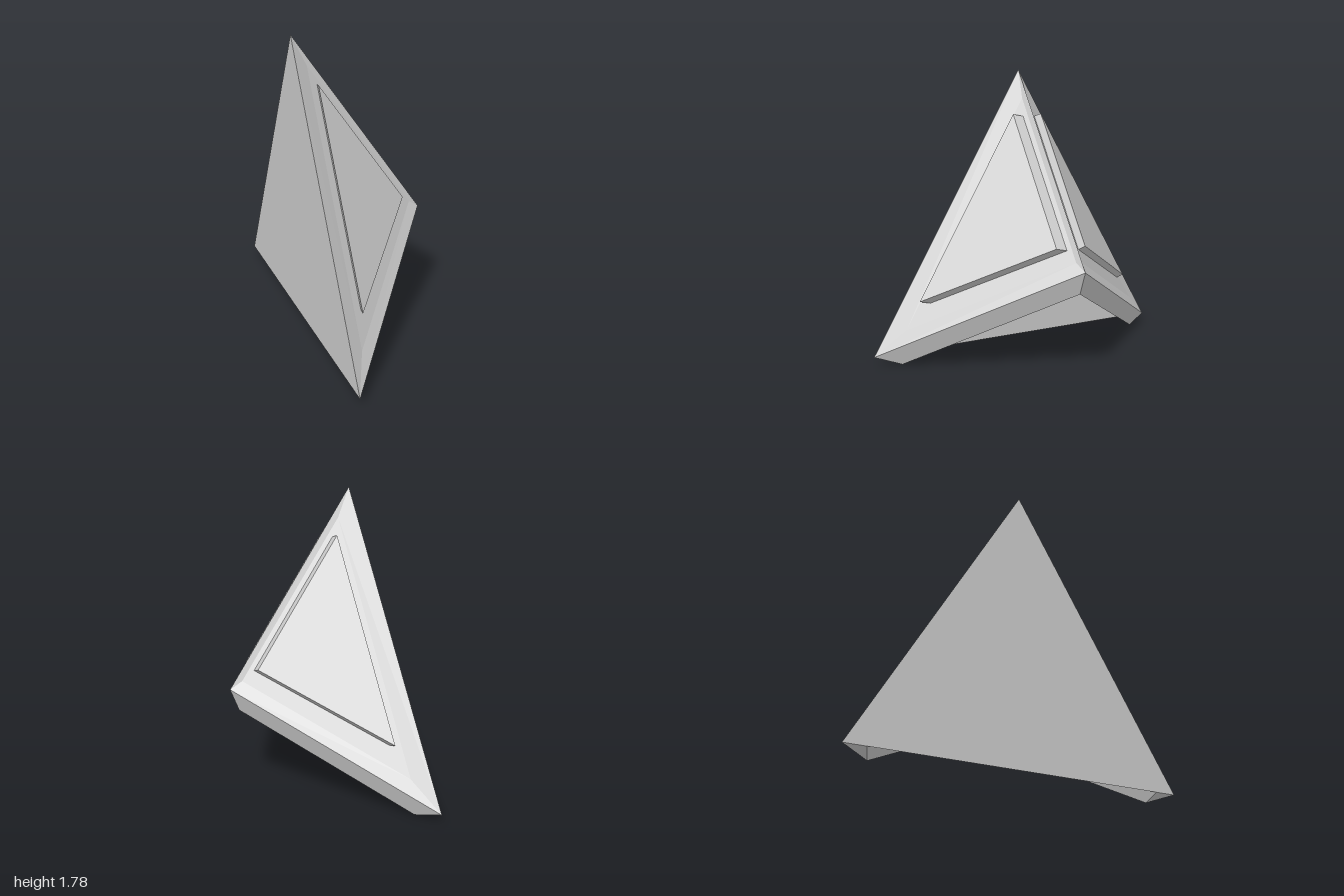
import * as THREE from 'three';

// Cube-corner axes: the three legs meeting at the front corner
const corner = new THREE.Vector3(0.408, 0.628, 0);
const up = new THREE.Vector3(-0.5774, 0.8165, 0);
const legFront = new THREE.Vector3(-0.5774, -0.4082, 0.7071);
const legRear = new THREE.Vector3(-0.5774, -0.4082, -0.7071);
const LEG = 1.4142, WALL = 0.09, LIP = -0.08, CEILING = 0.57, RECESS = 0.01;

const at = (a, b, c) => corner.clone()
  .addScaledVector(up, a).addScaledVector(legFront, b).addScaledVector(legRear, c);

// Flat-sided mesh from convex polygons given as loops of points
function polyMesh(name, polygons) {
  const pos = [];
  for (const p of polygons)
    for (let i = 1; i < p.length - 1; i++)
      for (const v of [p[0], p[i], p[i + 1]]) pos.push(v.x, v.y, v.z);
  const geo = new THREE.BufferGeometry();
  geo.setAttribute('position', new THREE.Float32BufferAttribute(pos, 3));
  geo.computeVertexNormals();
  const mesh = new THREE.Mesh(geo, new THREE.MeshStandardMaterial({
    color: 0xcccccc, flatShading: true, side: THREE.DoubleSide }));
  mesh.name = name;
  return mesh;
}

// Sides joining two loops of equal length
const band = (outer, inner) => outer.map((p, i) => {
  const j = (i + 1) % outer.length;
  return [p, outer[j], inner[j], inner[i]];
});

// One sloping face with its wall, lower rim and raised panel
function makeSide(name, mirrored, lift) {
  const pt = (a, b, c) => mirrored ? at(a, c, b) : at(a, b, c);
  const orient = polys => mirrored ? polys.map(p => [...p].reverse()) : polys;
  const side = new THREE.Group();
  side.name = name;

  // Face with a shallow bevel down to a recessed field
  const outer = [pt(0, 0, 0), pt(LEG, 0, 0), pt(0, LEG, 0)];
  const field = [[0.08, 0.035], [1.22, 0.036], [0.084, 1.17]].map(([a, b]) => pt(a, b, RECESS));
  side.add(polyMesh('recessedFace', orient([...band(outer, field), field])));

  // Chamfered lower rim and its pointed end
  const lipIn = pt(LIP, WALL, WALL), lipOut = pt(LIP, 1.285, WALL);
  const backLow = pt(0, LEG - WALL, WALL);
  side.add(polyMesh('lowerRim', orient([
    [outer[0], outer[2], lipOut, lipIn],
    [outer[2], backLow, lipOut],
  ])));

  // Wall of the hollow underside
  side.add(polyMesh('innerWall', orient([[
    lipIn, lipOut, backLow,
    pt(CEILING, LEG - WALL - CEILING, WALL), pt(CEILING, WALL, WALL),
  ]])));

  // Raised triangular panel
  const base = [[0.17, 0.065], [1.1, 0.066], [0.19, 0.975]].map(([a, b]) => pt(a, b, RECESS));
  const top = base.map(p => pt(0, 0, -RECESS).sub(corner).add(p).add(lift));
  side.add(polyMesh('raisedPanel', orient([...band(base, top), top])));
  return side;
}

export function createModel() {
  const model = new THREE.Group();
  model.name = 'cornerPiece';
  model.add(
    makeSide('frontSide', false, new THREE.Vector3(-0.02, 0.009, 0.055)),
    makeSide('rearSide', true, new THREE.Vector3(-0.008, 0.011, -0.041)),
    polyMesh('backWall', [[at(LEG, 0, 0), at(0, 0, LEG), at(0, LEG, 0)]]),
    // Ceiling of the hollow underside
    polyMesh('hollowCeiling', [[
      at(CEILING, WALL, WALL),
      at(CEILING, LEG - WALL - CEILING, WALL),
      at(CEILING, WALL, LEG - WALL - CEILING),
    ]]),
  );
  return model;
}
